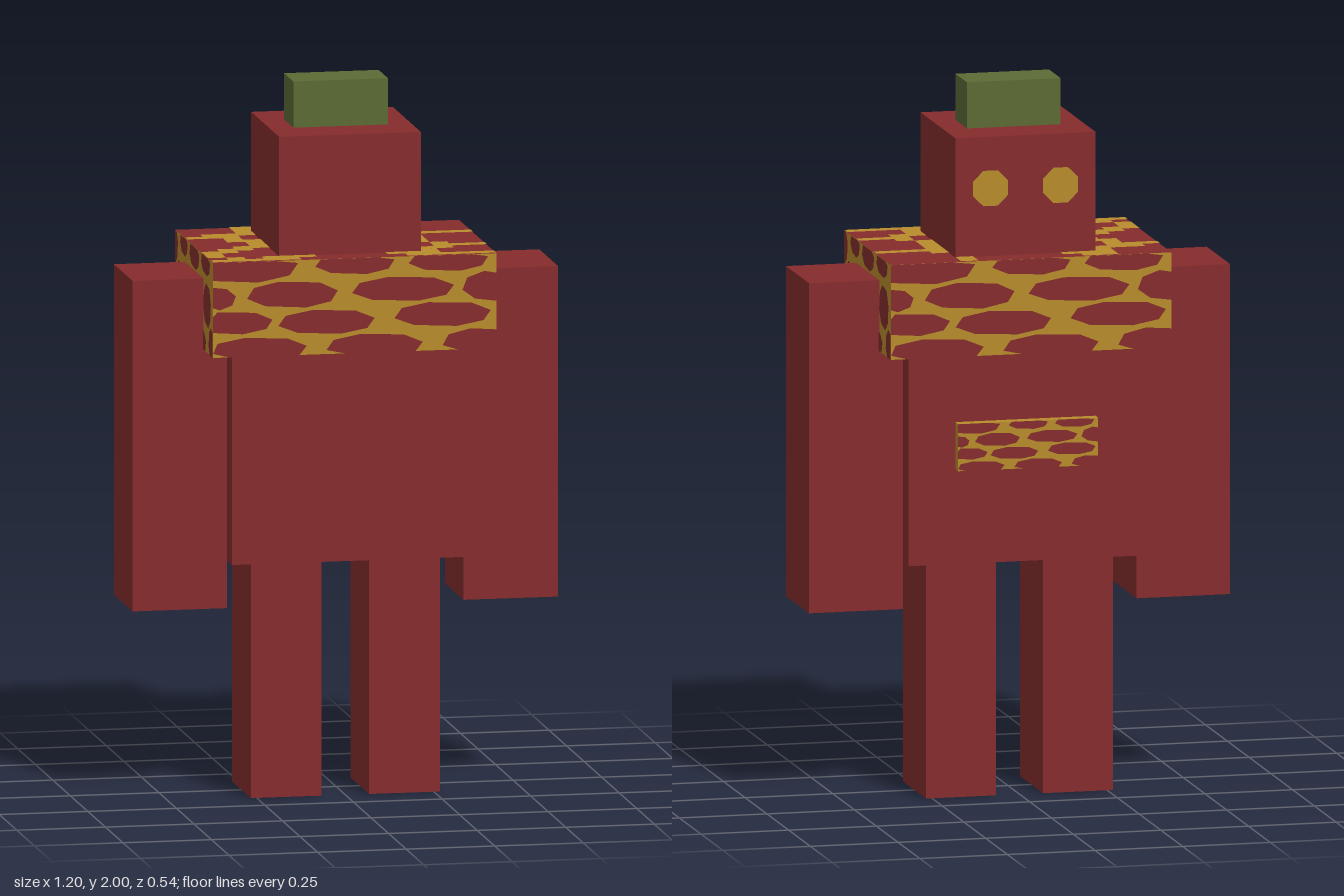
import * as THREE from 'three';
import { mergeGeometries } from 'three/addons/utils/BufferGeometryUtils.js';

const mat = (name, color) => {
  const m = new THREE.MeshStandardMaterial({ color });
  m.name = name;
  return m;
};

// Pebbles as [u, v, half width, half height] on a unit face
const WIDE = [
  [0.1, 0.94, 0.2, 0.16], [0.5, 0.95, 0.14, 0.12], [0.83, 0.95, 0.14, 0.12],
  [0.0, 0.62, 0.08, 0.12], [0.28, 0.64, 0.16, 0.14], [0.67, 0.66, 0.18, 0.13], [0.99, 0.66, 0.11, 0.16],
  [0.06, 0.36, 0.15, 0.12], [0.4, 0.34, 0.17, 0.13], [0.81, 0.38, 0.17, 0.13],
  [0.16, 0.07, 0.17, 0.13], [0.57, 0.07, 0.17, 0.13], [0.95, 0.08, 0.14, 0.14],
];
const NARROW = [
  [0.0, 0.86, 0.08, 0.2], [0.24, 0.95, 0.1, 0.14], [0.52, 0.92, 0.13, 0.15], [0.82, 0.94, 0.12, 0.13],
  [0.13, 0.5, 0.1, 0.22], [0.5, 0.46, 0.2, 0.24], [0.86, 0.5, 0.1, 0.23],
  [0.02, 0.08, 0.09, 0.16], [0.3, 0.09, 0.13, 0.14], [0.7, 0.09, 0.13, 0.13], [0.98, 0.12, 0.08, 0.18],
];
// Veins on the collar top as [column, row, columns, rows] of a 16 x 16 grid
const VEINS = [
  [3, 0, 2, 1], [3, 1, 3, 1], [11, 0, 1, 2], [3, 2, 1, 1], [1, 3, 3, 1], [0, 4, 3, 1],
  [2, 5, 1, 1], [2, 6, 2, 1], [3, 7, 1, 2], [2, 9, 2, 1], [1, 10, 2, 1], [0, 11, 1, 2],
  [1, 11, 1, 1], [0, 13, 1, 1], [1, 14, 1, 1], [3, 14, 3, 1], [0, 15, 2, 1], [2, 15, 3, 1],
  [12, 4, 1, 6], [13, 5, 3, 1], [13, 10, 1, 1], [13, 11, 3, 1], [12, 12, 2, 1],
  [12, 13, 1, 1], [10, 14, 3, 1], [11, 15, 5, 1],
];
// Corner-cut pebble outline
const PEBBLE = [[-1, -0.2], [-0.6, -0.8], [0.3, -1], [0.85, -0.6], [1, 0.2], [0.6, 0.85], [-0.3, 1], [-0.85, 0.6]];
const clamp = (t) => Math.min(1, Math.max(0, t));

// Flat pebbles facing +z, cut off at the edge of a w x h face
function pebbles(list, w, h) {
  return mergeGeometries(list.map(([u, v, a, b]) => new THREE.ShapeGeometry(new THREE.Shape(
    PEBBLE.map(([x, y]) => new THREE.Vector2((clamp(u + x * a) - 0.5) * w, (clamp(v + y * b) - 0.5) * h))
  ))));
}

export function createModel() {
  const red = mat('dark red', 0x862c2d);
  const gold = mat('gold', 0xb88c2c);
  const green = mat('olive green', 0x5c6b34);
  const model = new THREE.Group();

  const add = (name, geometry, material, x = 0, y = 0, z = 0) => {
    const mesh = new THREE.Mesh(geometry, material);
    mesh.name = name;
    mesh.position.set(x, y, z);
    model.add(mesh);
    return mesh;
  };
  // Box from its size, bottom height and centre
  const block = (name, w, h, d, x, bottom, z, material) =>
    add(name, new THREE.BoxGeometry(w, h, d), material, x, bottom + h / 2, z);

  // Body
  block('torso', 0.667, 0.6, 0.4, 0, 0.67, 0, red);
  block('head', 0.4, 0.337, 0.4, 0, 1.533, 0, red);
  block('headTop', 0.267, 0.13, 0.133, 0, 1.87, 0, green);
  for (const [side, s] of [['left', 1], ['right', -1]]) {
    block(side + 'Arm', 0.267, 0.93, 0.267, s * 0.467, 0.537, 0, red);
    block(side + 'Leg', 0.2, 0.67, 0.267, s * 0.167, 0, 0, red);
    // Eyes with cut corners, looking to -z
    const eye = add(side + 'Eye', new THREE.CircleGeometry(0.054, 8, Math.PI / 8), gold, s * 0.1, 1.725, -0.203);
    eye.rotation.y = Math.PI;
  }

  // Collar: gold block with a red top
  const W = 0.8, H = 0.267, D = 0.533, Y = 1.4, gap = 0.002;
  block('collar', W, H, D, 0, Y - H / 2, 0, [gold, gold, red, gold, gold, gold]);
  for (const [name, s] of [['Front', 1], ['Back', -1]]) {
    add('collarPebbles' + name, pebbles(WIDE, W, H), red, 0, Y, s * (D / 2 + gap)).rotation.y = s > 0 ? 0 : Math.PI;
  }
  for (const [name, s] of [['Left', 1], ['Right', -1]]) {
    add('collarPebbles' + name, pebbles(NARROW, D, H), red, s * (W / 2 + gap), Y, 0).rotation.y = s * Math.PI / 2;
  }
  add('collarPebblesBottom', pebbles(NARROW, W, D), red, 0, Y - H / 2 - gap, 0).rotation.x = Math.PI / 2;

  // Gold veins on the collar top
  const cw = W / 16, cd = D / 16;
  const veins = mergeGeometries(VEINS.map(([c, r, nc, nr]) =>
    new THREE.PlaneGeometry(nc * cw, nr * cd).rotateX(-Math.PI / 2)
      .translate((c + nc / 2) * cw - W / 2, 0, (r + nr / 2) * cd - D / 2)));
  add('collarVeins', veins, gold, 0, Y + H / 2 + gap, 0);

  // Raised belly plate on the -z side
  block('bellyPlate', 0.4, 0.133, 0.033, 0, 0.937, -0.215, gold);
  add('bellyPebbles', pebbles(WIDE, 0.4, 0.133), red, 0, 1.0035, -0.2335).rotation.y = Math.PI;

  return model;
}
